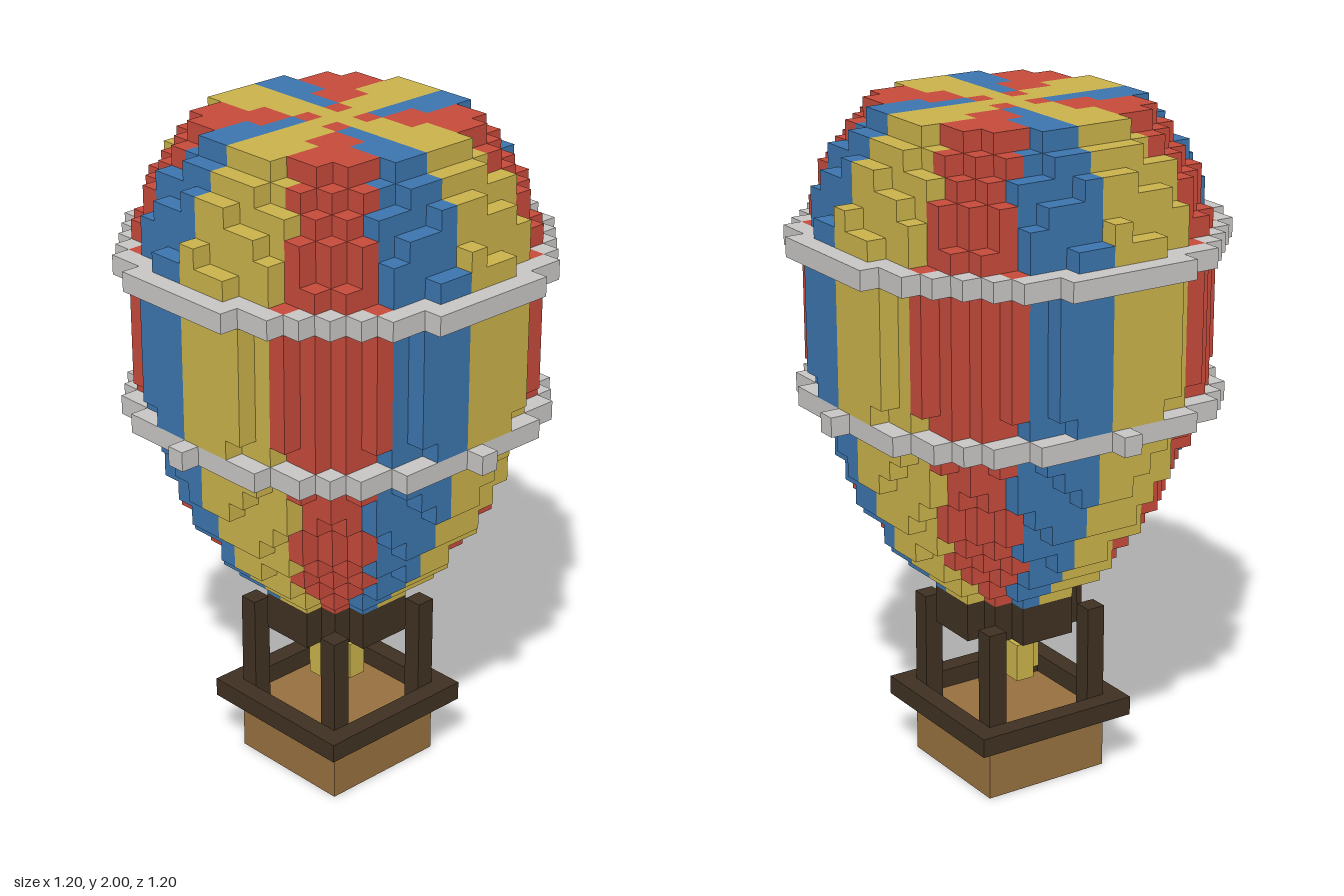
import * as THREE from 'three';

const V = 2 / 35; // edge of one cube; the model is 35 cubes tall
const mat = (name, color) => Object.assign(new THREE.MeshStandardMaterial({ color }), { name });

// Radius of the envelope, in cubes, for a layer (0 where there is no envelope)
const LOWER = [3.5, 4.6, 5.5, 6.2, 6.8, 7.3, 7.75, 8.15, 8.5, 8.8, 9.03, 9.28];
function envelopeRadius(y) {
  if (y < 10 || y > 34) return 0;
  if (y < 22) return LOWER[y - 10];
  return y <= 27 ? 9.5 : Math.sqrt(9.5 * 9.5 - (y - 27) ** 2);
}

const RING_LAYERS = [20, 28];
const GORES = ['yellow', 'red', 'blue'];

// Which part fills a cube of the balloon: a gore, a ring, the collar or nothing
function partAt(x, y, z) {
  const d = Math.hypot(x, z);
  if (y === 8 || y === 9) return d <= 3.5 ? 'collar' : null;
  const r = envelopeRadius(y);
  if (!r) return null;
  if (d <= r) {
    const turn = (Math.atan2(x, z) / (Math.PI * 2) + 1) % 1;
    return GORES[Math.floor(turn * 12 + 1e-6) % 3];
  }
  return RING_LAYERS.includes(y) && d <= r + 1 ? 'ring' : null;
}

// The six sides of a cube: outward normal and two edge directions with u x v = n
const SIDES = [];
for (let axis = 0; axis < 3; axis++) {
  for (const s of [1, -1]) {
    const n = [0, 0, 0], u = [0, 0, 0], v = [0, 0, 0];
    n[axis] = s;
    u[(axis + 1) % 3] = 1;
    v[(axis + 2) % 3] = s;
    SIDES.push({ n, u, v });
  }
}

// Collect the exposed cube faces of each part
function balloonGeometries() {
  const data = {};
  for (let y = 8; y < 35; y++) for (let x = -11; x <= 11; x++) for (let z = -11; z <= 11; z++) {
    const part = partAt(x, y, z);
    if (!part) continue;
    const out = (data[part] ??= { pos: [], nor: [] });
    for (const { n, u, v } of SIDES) {
      if (partAt(x + n[0], y + n[1], z + n[2])) continue;
      const c = [x, y + 0.5, z];
      const corner = (a, b) => c.map((k, i) => (k + (n[i] + a * u[i] + b * v[i]) / 2) * V);
      const [p, q, r, s] = [corner(-1, -1), corner(1, -1), corner(1, 1), corner(-1, 1)];
      out.pos.push(...p, ...q, ...r, ...p, ...r, ...s);
      for (let i = 0; i < 6; i++) out.nor.push(...n);
    }
  }
  const geos = {};
  for (const [part, { pos, nor }] of Object.entries(data)) {
    const g = new THREE.BufferGeometry();
    g.setAttribute('position', new THREE.Float32BufferAttribute(pos, 3));
    g.setAttribute('normal', new THREE.Float32BufferAttribute(nor, 3));
    geos[part] = g;
  }
  return geos;
}

export function createModel() {
  const model = new THREE.Group();
  model.name = 'hotAirBalloon';
  const yellow = mat('yellow', 0xc9b24a);
  const red = mat('red', 0xc64a3b);
  const blue = mat('blue', 0x3c75ae);
  const grey = mat('ring grey', 0xc8c6c4);
  const wicker = mat('wicker brown', 0x96703f);
  const timber = mat('dark timber', 0x3f3122);

  // Box given by its centre in x and z, bottom layer and size, all in cubes
  function box(name, material, x, y, z, w, h, d) {
    const mesh = new THREE.Mesh(new THREE.BoxGeometry(w * V, h * V, d * V), material);
    mesh.position.set(x * V, (y + h / 2) * V, z * V);
    mesh.name = name;
    model.add(mesh);
  }

  // Envelope gores, reinforcing rings and the collar at the mouth
  const looks = {
    yellow: ['yellowGores', yellow], red: ['redGores', red], blue: ['blueGores', blue],
    ring: ['envelopeRings', grey], collar: ['mouthCollar', timber],
  };
  for (const [part, geometry] of Object.entries(balloonGeometries())) {
    const mesh = new THREE.Mesh(geometry, looks[part][1]);
    mesh.name = looks[part][0];
    model.add(mesh);
  }

  // Basket with an overhanging rim and four corner posts
  box('basket', wicker, 0, 0, 0, 7, 3, 7);
  for (const s of [-1, 1]) {
    box('basketRimSide', timber, s * 4, 3, 0, 1, 1, 9);
    box('basketRimEnd', timber, 0, 3, s * 4, 7, 1, 1);
    for (const t of [-1, 1]) box('cornerPost', timber, s * 3, 3, t * 3, 1, 6, 1);
  }

  // Burner: a cross-shaped body with a nozzle
  box('burnerCore', yellow, 0, 5, 0, 1, 3, 1);
  for (const s of [-1, 1]) {
    box('burnerArm', yellow, s, 5, 0, 1, 2, 1);
    box('burnerArm', yellow, 0, 5, s, 1, 2, 1);
  }
  return model;
}
